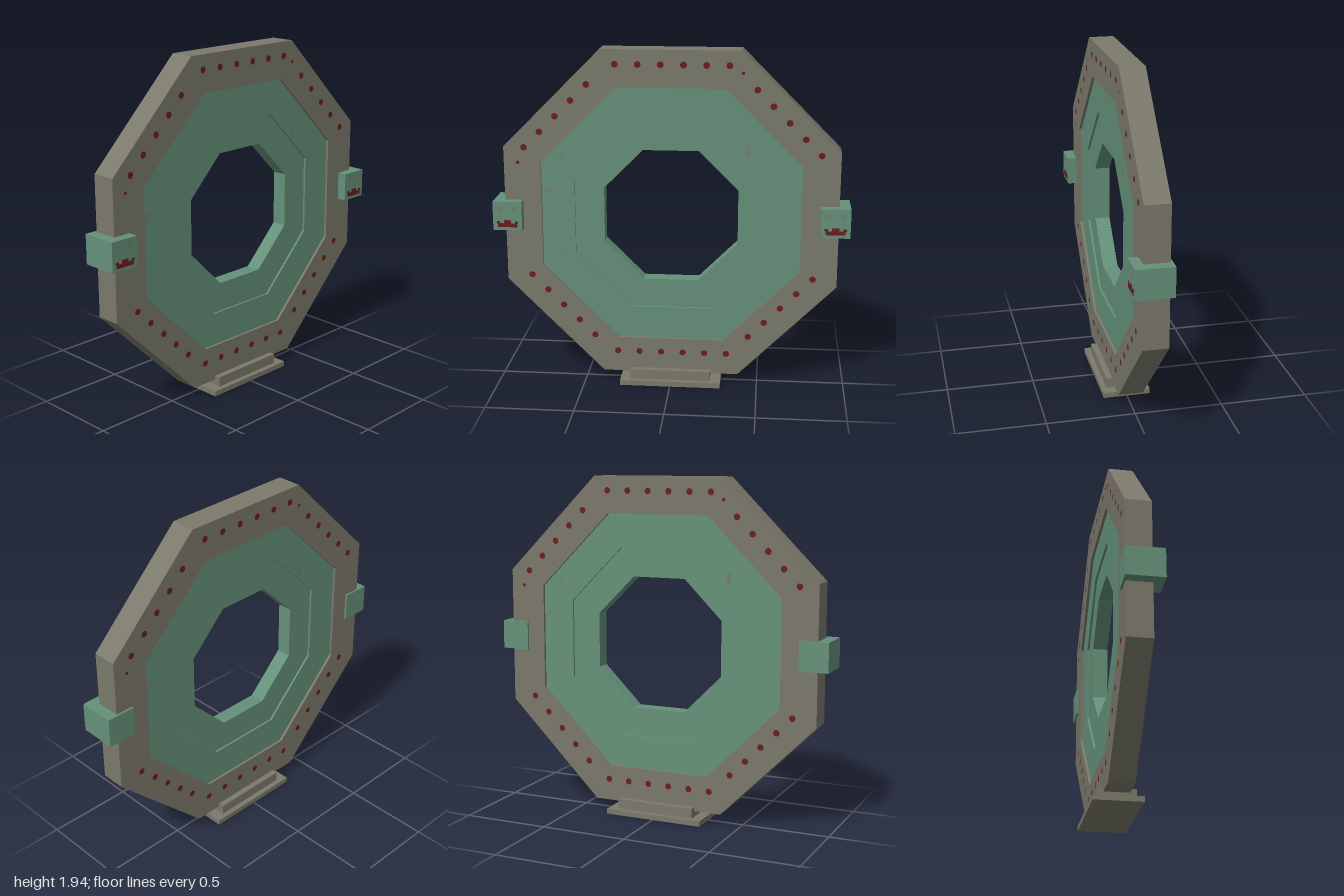
import * as THREE from 'three';

const mat = (name, color) => {
  const m = new THREE.MeshStandardMaterial({ color });
  m.name = name;
  return m;
};

const CENTRE_Y = 1.003;

// Corners of a flat-topped octagon with the given inner radius
function octagon(inradius) {
  const r = inradius / Math.cos(Math.PI / 8);
  return Array.from({ length: 8 }, (_, i) => {
    const a = Math.PI / 8 + (i * Math.PI) / 4;
    return new THREE.Vector2(r * Math.cos(a), r * Math.sin(a));
  });
}

export function createModel() {
  const stone = mat('stone', 0x7b796b);
  const green = mat('green', 0x65917a);
  const red = mat('dark red', 0x6c1c22);
  const worn = mat('worn paint', 0x75806f);
  const model = new THREE.Group();

  const add = (parent, name, geometry, material, x = 0, y = 0, z = 0) => {
    const mesh = new THREE.Mesh(geometry, material);
    mesh.name = name;
    mesh.position.set(x, y, z);
    parent.add(mesh);
    return mesh;
  };
  const box = (parent, name, material, w, h, d, x, y, z) =>
    add(parent, name, new THREE.BoxGeometry(w, h, d), material, x, y, z);

  // Nested octagonal rings, each thinner towards the opening
  const ring = (name, outer, inner, half, material) => {
    const shape = new THREE.Shape(octagon(outer));
    shape.holes.push(new THREE.Path(octagon(inner)));
    const geometry = new THREE.ExtrudeGeometry(shape, { depth: half * 2, bevelEnabled: false });
    add(model, name, geometry, material, 0, CENTRE_Y, -half);
  };
  ring('outerRing', 0.938, 0.73, 0.07, stone);
  ring('middleRing', 0.73, 0.543, 0.055, green);
  ring('innerRing', 0.543, 0.377, 0.043, green);

  // Stepped foot
  box(model, 'footPlate', stone, 0.58, 0.03, 0.27, 0, 0.015, 0);
  box(model, 'footStep', stone, 0.46, 0.057, 0.21, 0, 0.0585, 0);

  // Painted studs and worn patches, the same on both faces
  const stud = new THREE.CircleGeometry(0.019, 8);
  const smallStud = new THREE.CircleGeometry(0.011, 5);
  for (const side of ['front', 'back']) {
    const face = new THREE.Group();
    face.name = side + 'FaceDetails';
    if (side === 'back') face.rotation.y = Math.PI;
    model.add(face);
    const place = (geometry, x, y) => add(face, 'stud', geometry, red, x, y, 0.072);

    for (let i = 0; i < 6; i++) {
      place(stud, -0.306 + i * 0.1254, 1.86);
      place(stud, -0.306 + i * 0.1254, 0.19);
    }
    for (let i = 0; i < 5; i++) {
      const d = i * 0.0895;
      place(stud, -0.464 - d, 1.747 - d);
      place(stud, 0.473 + d, 1.73 - d);
      place(stud, -0.438 - d, 0.285 + d);
      place(stud, 0.445 + d, 0.3 + d);
    }
    place(smallStud, 0.394, 1.82);
    place(smallStud, -0.858, 1.302);

    for (const [x, y, w, h, turn] of [
      [0.425, 1.39, 0.024, 0.07, -0.2],
      [-0.7, 1.14, 0.055, 0.02, 0.5],
      [-0.615, 1.347, 0.04, 0.016, -0.5],
      [-0.62, 0.8, 0.02, 0.015, 0],
    ]) {
      const patch = add(face, 'wornPatch', new THREE.PlaneGeometry(w, h), worn, x, y, 0.057);
      patch.rotation.z = turn;
    }
  }

  // Side clamps with a red marking and two pale spots on the front
  for (const s of [-1, 1]) {
    const clamp = new THREE.Group();
    clamp.name = s < 0 ? 'rightClamp' : 'leftClamp';
    clamp.position.set(s * 0.9175, 1.003, 0);
    model.add(clamp);
    box(clamp, 'clampBlock', green, 0.165, 0.165, 0.207, 0, 0, 0.0215);
    box(clamp, 'markingBar', red, 0.11, 0.022, 0.004, 0, -0.053, 0.126);
    box(clamp, 'markingCentre', red, 0.04, 0.02, 0.004, 0, -0.034, 0.126);
    for (const e of [-1, 1]) {
      box(clamp, 'markingEnd', red, 0.018, 0.014, 0.004, e * 0.052, -0.037, 0.126);
      add(clamp, 'paleSpot', new THREE.CircleGeometry(0.017, 8), worn, e * 0.039, 0.042, 0.127);
    }
  }

  return model;
}
